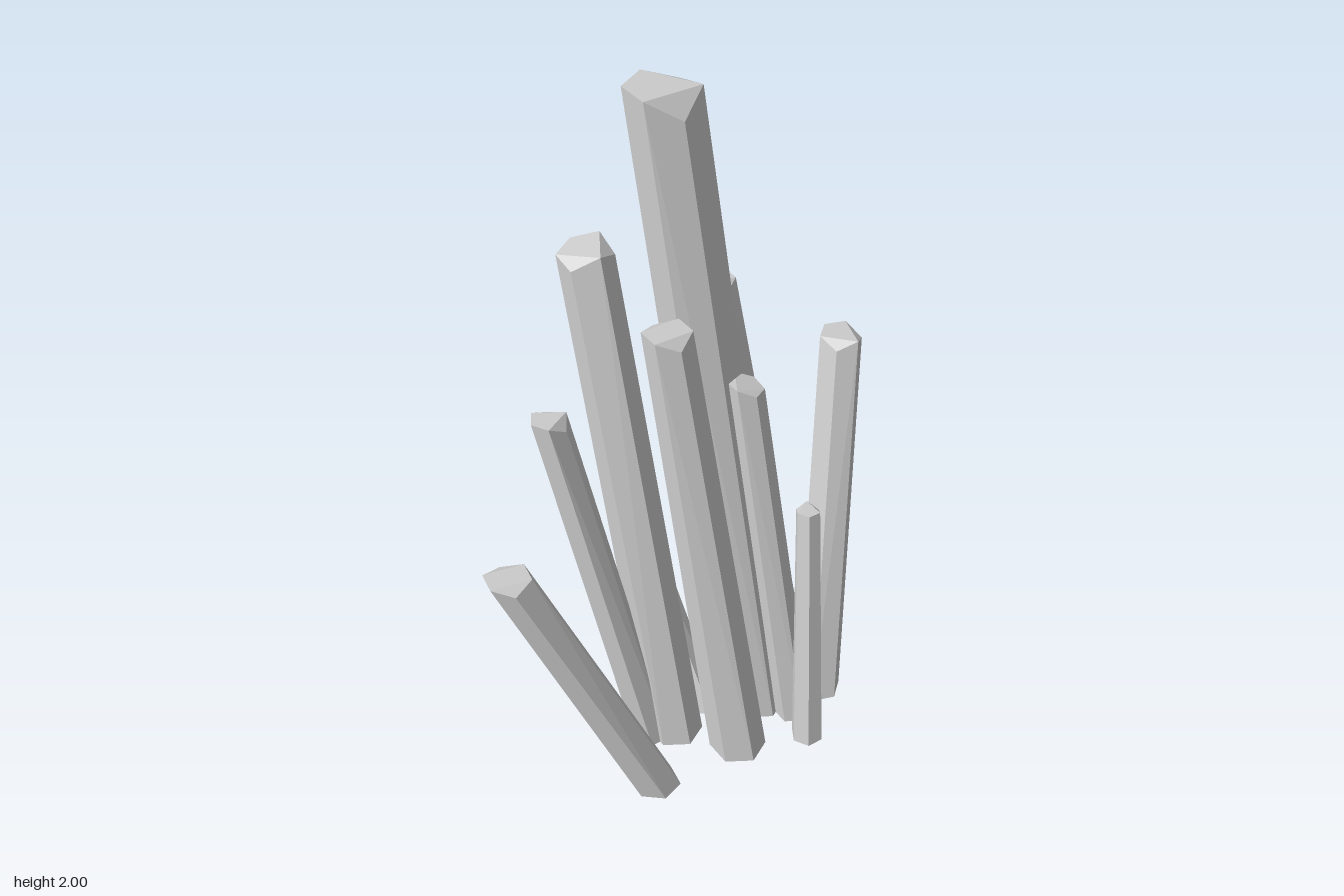
import * as THREE from 'three';
import { ConvexGeometry } from 'three/addons/geometries/ConvexGeometry.js';

const material = new THREE.MeshStandardMaterial({ color: 0xcccccc, flatShading: true });

// Corner k of a level hexagon, turned by the given degrees (90 puts a corner at the front)
function corner(k, [x, z, r], y, turn) {
  const a = THREE.MathUtils.degToRad(turn + 60 * k);
  return new THREE.Vector3(x + r * Math.cos(a), y, z + r * Math.sin(a));
}

// Leaning six-sided prism with a level foot and a chipped top
function crystal({ name, base, top, h, turn = 90, chips }) {
  const points = [];
  for (let k = 0; k < 6; k++) {
    points.push(corner(k, base, 0, turn), corner(k, top, h - chips[k], turn));
  }
  const mesh = new THREE.Mesh(new ConvexGeometry(points), material);
  mesh.name = name;
  return mesh;
}

// base and top are [x, z, radius]; chips lower each top corner in turn
const crystals = [
  { name: 'tallestCrystal', base: [0.165, 0.175, 0.115], top: [0.16, -0.35, 0.118], h: 2, chips: [0.065, 0, 0, 0, 0.03, 0] },
  { name: 'leftTallCrystal', base: [-0.13, 0.158, 0.087], top: [-0.13, -0.318, 0.087], h: 1.585, chips: [0, 0.045, 0.03, 0.02, 0, 0.035] },
  { name: 'frontCentreCrystal', base: [0, 0.325, 0.09], top: [-0.003, -0.078, 0.077], h: 1.37, chips: [0.03, 0, 0, 0.02, 0, 0] },
  { name: 'rightTallCrystal', base: [0.335, 0.1, 0.087], top: [0.335, -0.355, 0.081], h: 1.29, chips: [0.035, 0, 0, 0.02, 0, 0] },
  { name: 'rightLeaningCrystal', base: [0.37, 0.255, 0.075], top: [0.634, -0.06, 0.07], h: 1.14, turn: 18, chips: [0.03, 0, 0.025, 0, 0, 0] },
  { name: 'leftLeaningCrystal', base: [-0.307, 0.32, 0.077], top: [-0.635, 0.04, 0.074], h: 0.81, turn: 40, chips: [0, 0.02, 0, 0, 0.02, 0] },
  { name: 'leftSlimCrystal', base: [-0.205, 0.13, 0.062], top: [-0.357, -0.173, 0.06], h: 1.14, turn: 0, chips: [0, 0.03, 0, 0, 0, 0.02] },
  { name: 'frontSlimCrystal', base: [0.235, 0.3, 0.06], top: [0.235, -0.01, 0.059], h: 1.14, chips: [0.025, 0, 0, 0, 0.02, 0.03] },
  { name: 'frontSmallCrystal', base: [0.21, 0.415, 0.052], top: [0.32, 0.22, 0.04], h: 0.76, turn: 0, chips: [0.02, 0, 0, 0, 0.015, 0] },
  { name: 'backSmallCrystal', base: [0, 0.1, 0.067], top: [0, -0.295, 0.067], h: 0.49, chips: [0, 0, 0.02, 0.01, 0, 0.02] },
];

export function createModel() {
  const model = new THREE.Group();
  model.name = 'crystalCluster';
  for (const spec of crystals) model.add(crystal(spec));
  return model;
}
